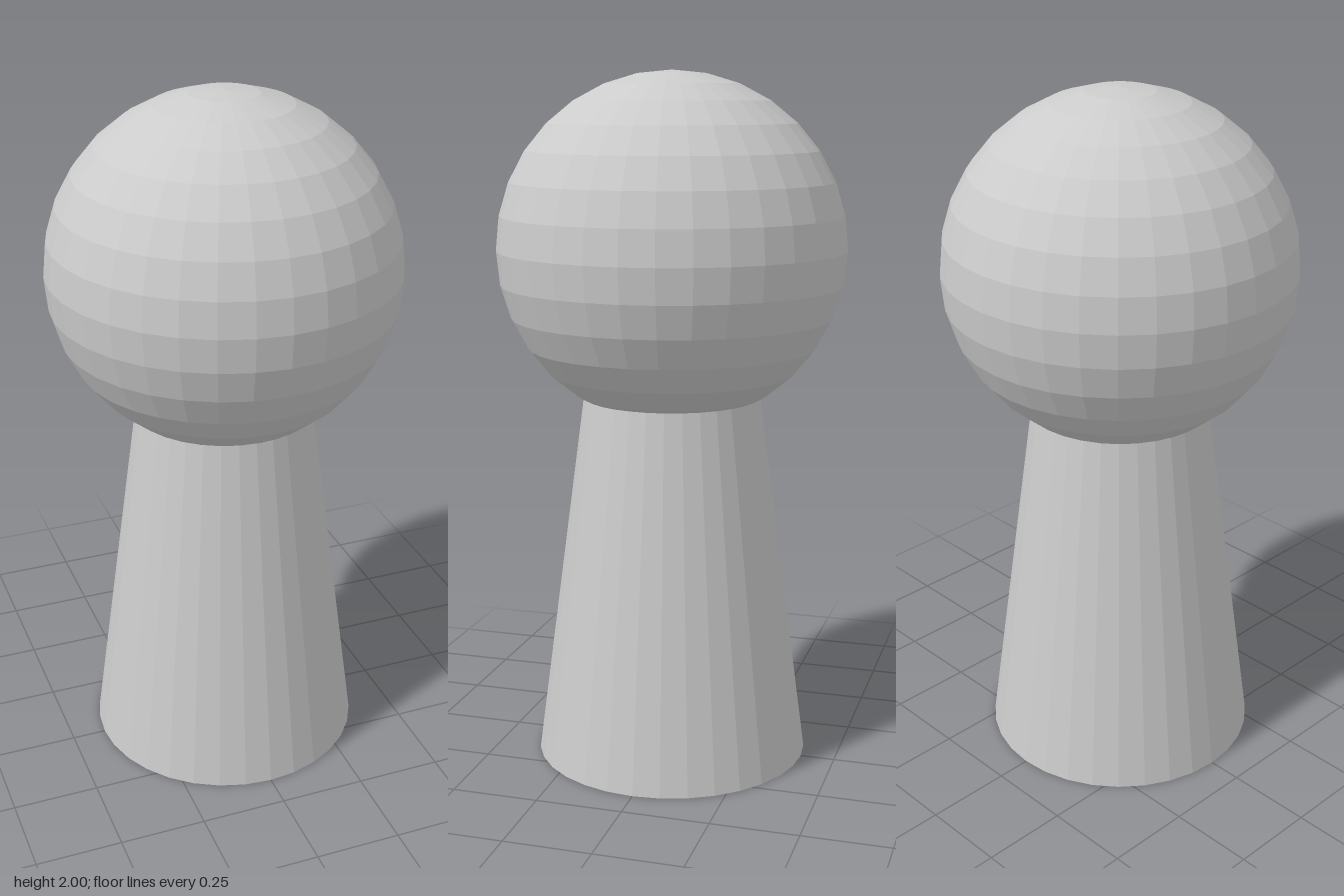
import * as THREE from 'three';

export function createModel() {
  const group = new THREE.Group();
  group.name = 'pawn';
  const material = new THREE.MeshStandardMaterial({ color: 0xcccccc, flatShading: true });

  const add = (name, geometry, y) => {
    const mesh = new THREE.Mesh(geometry, material);
    mesh.name = name;
    mesh.position.y = y;
    group.add(mesh);
  };

  // Tapered body, its top reaching the centre of the head
  add('body', new THREE.CylinderGeometry(0.2, 0.4, 1.5, 32), 0.75);

  // Round faceted head
  add('head', new THREE.SphereGeometry(0.5, 32, 16), 1.5);

  return group;
}
